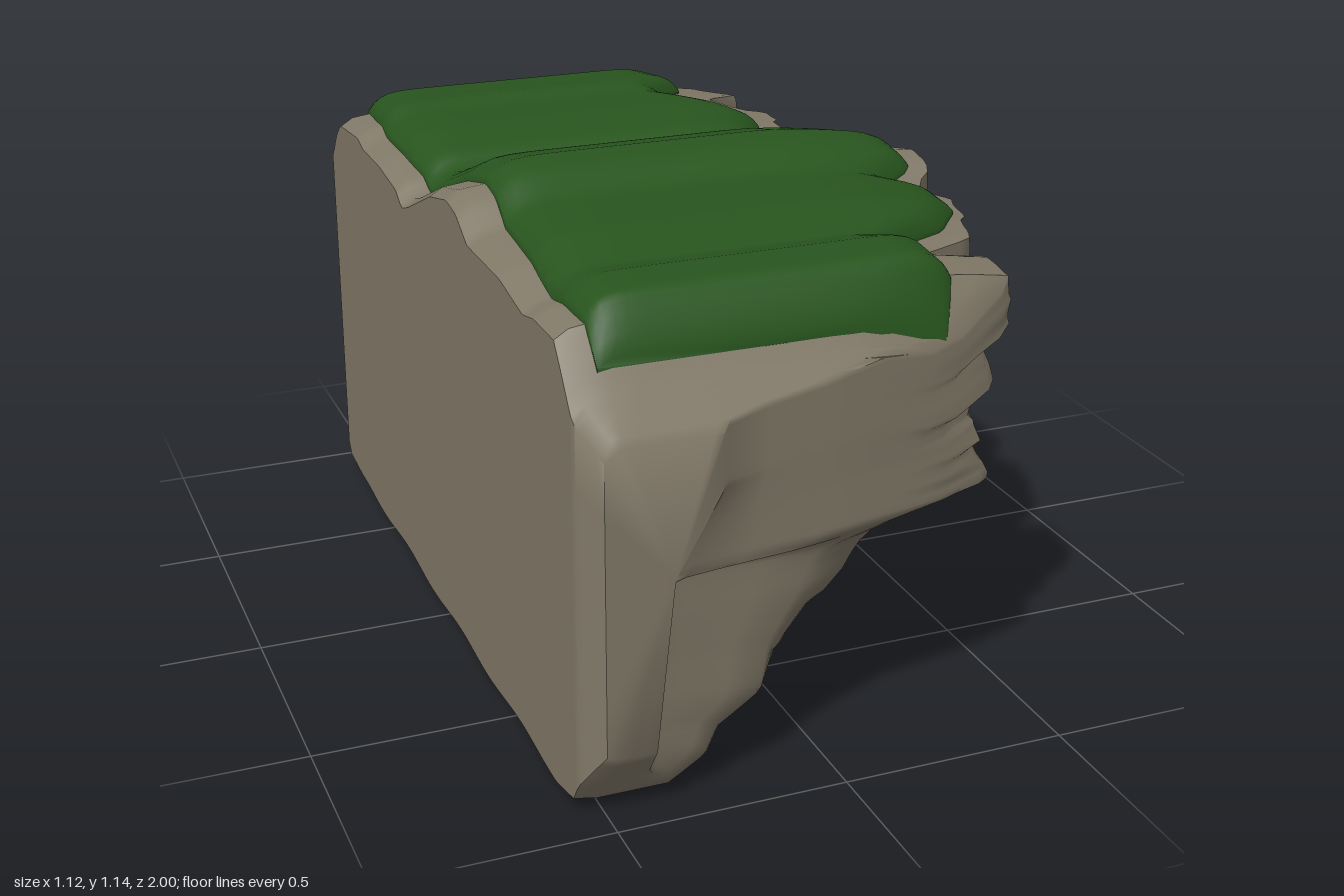
import * as THREE from 'three';
import { toCreasedNormals } from 'three/addons/utils/BufferGeometryUtils.js';

// Piecewise-linear lookup in a short list of [key, value] pairs
function lookup(table, k) {
  if (k <= table[0][0]) return table[0][1];
  for (let i = 1; i < table.length; i++) {
    const [k0, v0] = table[i - 1], [k1, v1] = table[i];
    if (k <= k1) return v0 + (v1 - v0) * (k - k0) / (k1 - k0);
  }
  return table[table.length - 1][1];
}
const hash = (a, b) => {
  const s = Math.sin(a * 127.1 + b * 311.7 + 4.3) * 43758.5453;
  return s - Math.floor(s);
};
const { smoothstep: smooth, lerp } = THREE.MathUtils;

// Height of the grass crest along z
const CREST = [[-1, 0.87], [-0.91, 0.97], [-0.88, 1.01], [-0.83, 1.05], [-0.65, 1.065], [-0.6, 1.05], [-0.45, 1.05],
  [-0.3, 1.035], [-0.25, 1.005], [-0.2, 1.02], [0, 1.105], [0.13, 1.135], [0.2, 1.125], [0.28, 1.08],
  [0.5, 1.08], [0.65, 1.055], [0.72, 1.07], [0.84, 1.07], [0.88, 1.02], [0.92, 0.965], [1, 0.87]];
// How far the rock overhang reaches along z
const REACH = [[-1, -0.28], [-0.93, 0.1], [-0.91, 0.28], [-0.86, 0.4], [-0.8, 0.42], [-0.72, 0.49], [-0.65, 0.38],
  [-0.57, 0.5], [-0.35, 0.48], [-0.25, 0.35], [-0.21, 0.54], [0, 0.56], [0.22, 0.55], [0.27, 0.51], [0.35, 0.55],
  [0.45, 0.53], [0.58, 0.47], [0.65, 0.33], [0.7, 0.44], [0.85, 0.42], [0.9, 0.26], [0.93, 0.1], [1, -0.28]];
// Front edge of the grass along z
const GRASS = [[-0.91, 0.2], [-0.87, 0.28], [-0.72, 0.32], [-0.65, 0.22], [-0.6, 0.25], [-0.5, 0.37],
  [-0.42, 0.41], [-0.3, 0.36], [-0.25, 0.26], [-0.21, 0.41], [-0.15, 0.48], [0, 0.5], [0.22, 0.5],
  [0.27, 0.41], [0.35, 0.5], [0.45, 0.49], [0.55, 0.41], [0.65, 0.22], [0.7, 0.29], [0.85, 0.27], [0.9, 0.24]];
// Overhanging face: 0 to 0.5 climbs to the ledge, 0.5 to 1 from the ledge to the top
const PROFILE = [[0, -0.34], [0.05, -0.25], [0.11, -0.21], [0.17, -0.09], [0.27, -0.02], [0.33, 0.06],
  [0.39, 0.15], [0.44, 0.2], [0.475, 0.26], [0.5, 0.41], [0.53, 0.54], [0.68, 0.53], [0.8, 0.55], [1, 0.55]];
// Front edge of the flat end pillars
const PILLAR = [[0.15, -0.415], [0.5, -0.38], [0.8, -0.28], [1, -0.28]];
const BACK = -0.56, LEDGE = 0.53;

function rockTop(x, z) {
  const corner = 0.05 * smooth(x, 0.05, 0.25) * smooth(Math.abs(z), 0.84, 0.91);
  const rear = 0.015 * (1 - smooth(x, BACK, -0.47));
  return lookup(CREST, z) - 0.045 - 0.035 * smooth(x, 0.15, 0.55) - corner - rear;
}

// Broken strata: long blocks in staggered layers, each undercut and set back by its own amount
function setBack(t, z) {
  const count = t < 0.5 ? 12 : 16;
  const bend = t * count + 0.3 * Math.sin(z * 7) + 0.15 * Math.sin(z * 19);
  const layer = Math.floor(bend), up = bend - layer;
  const run = z / 0.19 + 5 * hash(layer, 7);
  const block = Math.floor(run), step = smooth(run - block, 0.7, 1);
  let amount = 0.09 * lerp(hash(layer, block), hash(layer, block + 1), step);
  amount += 0.03 * up + 0.012 * Math.sin(z * 33 + layer * 2);
  if (t < 0.5) amount *= 0.6;
  if (t > 0.64 && z > -0.2 && z < 0.24) amount *= 0.15;                // smooth central boulder
  amount *= 1 - 0.8 * smooth(t, 0.88, 0.95);
  const lowBand = smooth(t, 0.18, 0.3) * (1 - smooth(t, 0.44, 0.5));
  amount += 0.08 * lowBand * smooth(z, -0.68, -0.6) * (1 - smooth(z, -0.36, -0.28)); // hollow under the ledge
  const lip = smooth(t, 0.4, 0.44) * (1 - smooth(t, 0.46, 0.49));
  amount -= 0.13 * lip * smooth(z, 0, 0.06) * (1 - smooth(z, 0.2, 0.26));            // jutting slab below it
  return amount * (1 - smooth(Math.abs(z), 0.82, 0.93)) * (0.35 + 0.65 * smooth(t, 0, 0.2));
}

// Closed rock cross-section at z: up the face, back over the top, down the back, along the base
function rockSection(z) {
  const a = Math.abs(z), pts = [];
  const reach = lookup(REACH, z);
  const back = lookup([[0, BACK], [0.94, BACK], [1, -0.52]], a);
  const base = lookup([[0, 0.008], [0.8, 0.012], [0.91, 0.03], [1, 0.16]], a) + 0.006 * Math.sin(z * 14);
  const top = rockTop(reach, z), levels = 72;
  for (let i = 0; i <= levels; i++) {
    const t = i / levels;
    const y = t < 0.5 ? lerp(base, LEDGE, t * 2) : lerp(LEDGE, top, t * 2 - 1);
    const local = lerp(0.55, reach, 0.25 + 0.75 * smooth(t, 0, 0.5));
    const x = BACK + (lookup(PROFILE, t) - BACK) * (local - BACK) / 1.11 - setBack(t, z);
    const pillar = t < 0.5 ? smooth(a, 0.92, 0.955) : smooth(a, 0.95, 1);
    pts.push([lerp(x, Math.min(x, lookup(PILLAR, t)), pillar), y]);
  }
  const front = pts[levels][0];
  for (let i = 1; i <= 12; i++) {
    const x = front + (back + 0.03 - front) * i / 12;
    pts.push([x, rockTop(x, z)]);
  }
  const backTop = rockTop(back, z) - 0.015;
  for (let i = 0; i <= 6; i++) pts.push([back, lerp(backTop, base + 0.01, i / 6)]);
  for (let i = 1; i <= 3; i++) pts.push([lerp(back, pts[0][0], i / 4), base]);
  return pts;
}

// Closed grass cross-section: a thick turf with rolled edges lying on the rock
function grassSection(z) {
  const pts = [], n = 24;
  const front = lookup(GRASS, z), back = -0.485 + 0.015 * Math.sin(z * 5 + 1);
  const swell = 0.045 * Math.sqrt(smooth(0.92 - Math.abs(z), 0, 0.07));
  for (let i = 0; i <= n; i++) {
    const s = 0.5 - 0.5 * Math.cos(Math.PI * i / n);
    const x = lerp(front, back, s);
    const h = swell * (1 - Math.pow(Math.abs(2 * s - 1), 14));
    pts.push([x, rockTop(x, z) + 0.004 + h]);
  }
  for (let i = 0; i <= 6; i++) {
    const x = lerp(back, front, i / 6);
    pts.push([x, rockTop(x, z) - 0.025]);
  }
  return pts;
}

// Skin the cross-sections along z and close both ends
function loft(stations, section, crease) {
  const pos = [], index = [];
  const rings = stations.map(section), n = rings[0].length;
  rings.forEach((ring, j) => ring.forEach(([x, y]) => pos.push(x, y, stations[j])));
  for (let j = 0; j < rings.length - 1; j++) {
    for (let i = 0; i < n; i++) {
      const a = j * n + i, b = j * n + (i + 1) % n;
      index.push(a, b, b + n, a, b + n, a + n);
    }
  }
  for (const j of [0, rings.length - 1]) {
    const centre = pos.length / 3;
    const sum = rings[j].reduce((s, p) => [s[0] + p[0] / n, s[1] + p[1] / n], [0, 0]);
    pos.push(sum[0], sum[1], stations[j]);
    for (let i = 0; i < n; i++) {
      const a = j * n + i, b = j * n + (i + 1) % n;
      if (j === 0) index.push(centre, b, a);
      else index.push(centre, a, b);
    }
  }
  const geometry = new THREE.BufferGeometry();
  geometry.setAttribute('position', new THREE.Float32BufferAttribute(pos, 3));
  geometry.setIndex(index);
  return toCreasedNormals(geometry, crease);
}

function range(from, to, count) {
  return Array.from({ length: count + 1 }, (_, i) => from + (to - from) * i / count);
}

export function createModel() {
  const rock = new THREE.MeshStandardMaterial({ name: 'rock', color: 0x817968 });
  const grass = new THREE.MeshStandardMaterial({ name: 'grass', color: 0x28551e });
  const model = new THREE.Group();
  model.name = 'cliffLedge';

  const ends = [0.92, 0.932, 0.944, 0.956, 0.97, 0.985, 1];
  const stations = [...ends.map(z => -z).reverse(), ...range(-0.91, 0.91, 104), ...ends];
  const cliff = new THREE.Mesh(loft(stations, rockSection, 0.8), rock);
  cliff.name = 'cliffRock';

  const turf = new THREE.Mesh(loft(range(-0.91, 0.9, 100), grassSection, 0.8), grass);
  turf.name = 'grassTop';

  model.add(cliff, turf);
  return model;
}
